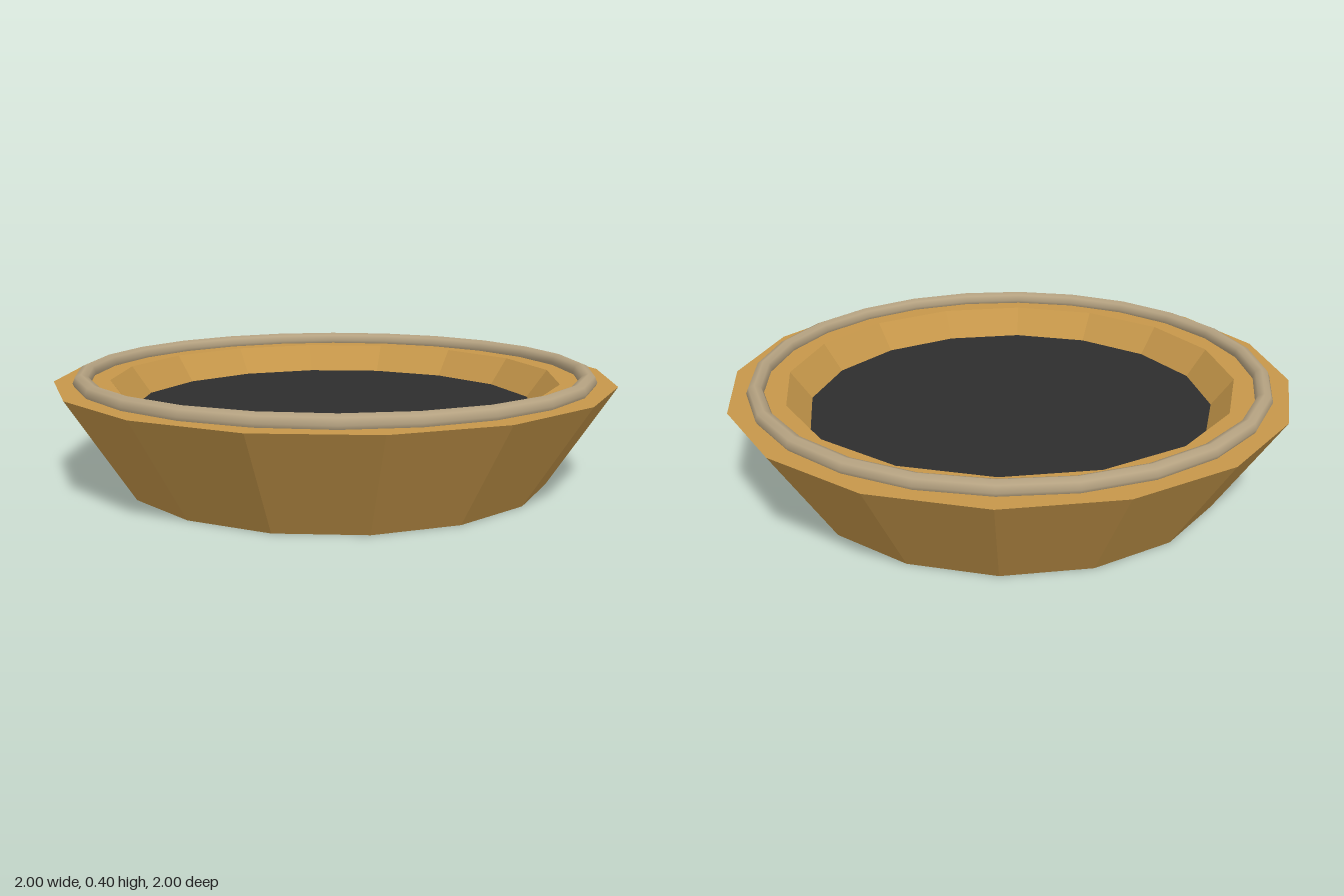
import * as THREE from 'three';

export function createModel() {
  const model = new THREE.Group();
  const wood = new THREE.MeshStandardMaterial({ color: 0xc6974a });
  wood.name = 'wood';
  const rope = new THREE.MeshStandardMaterial({ color: 0xb5a281 });
  rope.name = 'tan trim';
  const dark = new THREE.MeshStandardMaterial({ color: 0x2d2d2d });
  dark.name = 'dark filling';

  const add = (name, geometry, material, y = 0) => {
    const mesh = new THREE.Mesh(geometry, material);
    mesh.name = name;
    mesh.position.y = y;
    model.add(mesh);
  };

  // Faceted bowl: underside, sloping outer wall, flat rim, sloping inner wall
  const profile = [[0, 0], [0.77, 0], [1, 0.36], [0.805, 0.36], [0.73, 0.26]]
    .map(([x, y]) => new THREE.Vector2(x, y));
  const bowl = new THREE.LatheGeometry(profile, 16).toNonIndexed();
  bowl.computeVertexNormals(); // flat facets
  add('bowl', bowl, wood);

  // Dark surface inside the bowl
  add('filling', new THREE.CircleGeometry(0.73, 16).rotateX(-Math.PI / 2), dark, 0.26);

  // Rounded trim ring resting on the rim
  add('rimRing', new THREE.TorusGeometry(0.9, 0.03, 8, 24).rotateX(-Math.PI / 2), rope, 0.372);

  return model;
}
